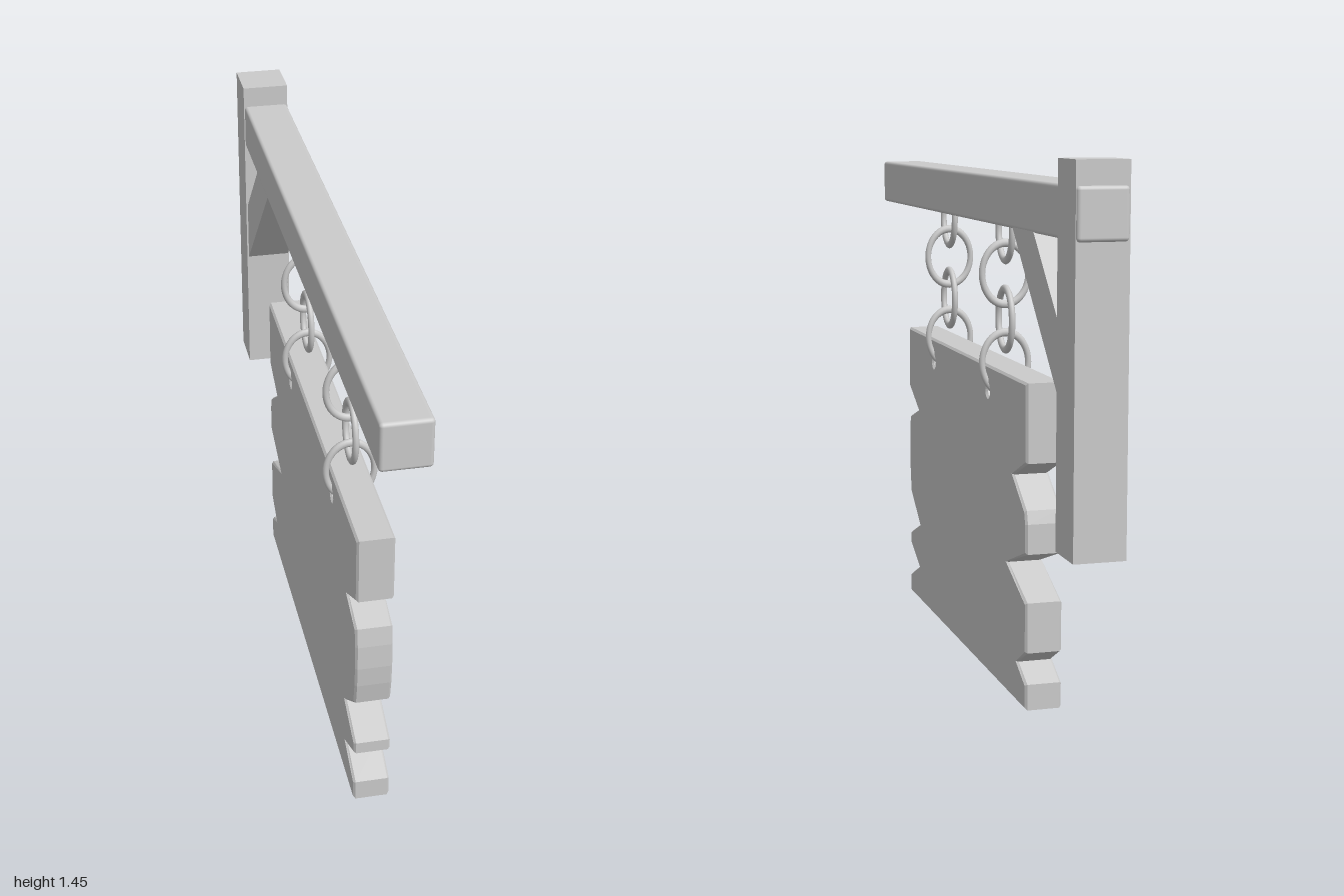
import * as THREE from 'three';
import { RoundedBoxGeometry } from 'three/addons/geometries/RoundedBoxGeometry.js';

const material = new THREE.MeshStandardMaterial({ color: 0xcccccc });
const chainZ = [0.4, -0.2];

function add(parent, name, geometry, x = 0, y = 0, z = 0) {
  const mesh = new THREE.Mesh(geometry, material);
  mesh.name = name;
  mesh.position.set(x, y, z);
  parent.add(mesh);
  return mesh;
}

// Extrudes a side profile given as (z, y) across x, centred on x = 0
function sideExtrude(shape, width, bevel = 0) {
  const depth = width - 2 * bevel;
  const geometry = new THREE.ExtrudeGeometry(shape, {
    depth, bevelEnabled: bevel > 0, bevelThickness: bevel, bevelSize: bevel,
    bevelOffset: -bevel, bevelSegments: 1, curveSegments: 10,
  });
  return geometry.translate(0, 0, -depth / 2).rotateY(-Math.PI / 2);
}

const toShape = (points) => new THREE.Shape(points.map(([z, y]) => new THREE.Vector2(z, y)));

// Hanging board with splintered ends and two holes for the chains
function boardGeometry() {
  const shape = toShape([
    [-0.56, 0], [0.715, 0], [0.715, 0.06], [0.6, 0.11], [0.715, 0.165], [0.715, 0.2],
    [0.59, 0.25], [0.705, 0.335], [0.716, 0.4], [0.72, 0.46], [0.718, 0.53], [0.71, 0.585],
    [0.6, 0.62], [0.718, 0.68], [0.718, 0.87], [-0.56, 0.87], [-0.56, 0.66],
    [-0.44, 0.61], [-0.55, 0.535], [-0.56, 0.5], [-0.56, 0.42], [-0.385, 0.36],
    [-0.56, 0.29], [-0.56, 0.155], [-0.48, 0.11], [-0.56, 0.07],
  ]);
  for (const z of chainZ) {
    shape.holes.push(new THREE.Path().absarc(z, 0.8, 0.018, 0, Math.PI * 2, true));
  }
  return sideExtrude(shape, 0.1, 0.006);
}

// Oval chain link, lying across x or along z
function linkGeometry(alongZ) {
  const geometry = new THREE.TorusGeometry(0.066, 0.009, 10, 40).scale(1, 1.27, 1);
  return alongZ ? geometry.rotateY(Math.PI / 2) : geometry;
}

export function createModel() {
  const model = new THREE.Group();
  model.name = 'hangingSign';

  // Wooden bracket
  const bracket = new THREE.Group();
  bracket.name = 'bracket';
  model.add(bracket);
  add(bracket, 'beam', new RoundedBoxGeometry(0.13, 0.13, 2, 3, 0.01), 0, 1.325, 0);
  add(bracket, 'post', new THREE.BoxGeometry(0.134, 0.95, 0.134), -0.001, 0.975, -0.925);
  const brace = toShape([[-0.47, 1.27], [-0.65, 1.27], [-0.87, 1.05], [-0.87, 0.87]]);
  add(bracket, 'brace', sideExtrude(brace, 0.126));

  // Two chains of alternating links
  for (const z of chainZ) {
    const chain = new THREE.Group();
    chain.name = 'chain';
    model.add(chain);
    [1.24, 1.12, 0.995, 0.875].forEach((y, i) => {
      add(chain, 'chainLink', linkGeometry(i % 2 === 0), 0, y, z);
    });
  }

  add(model, 'signBoard', boardGeometry());
  return model;
}
